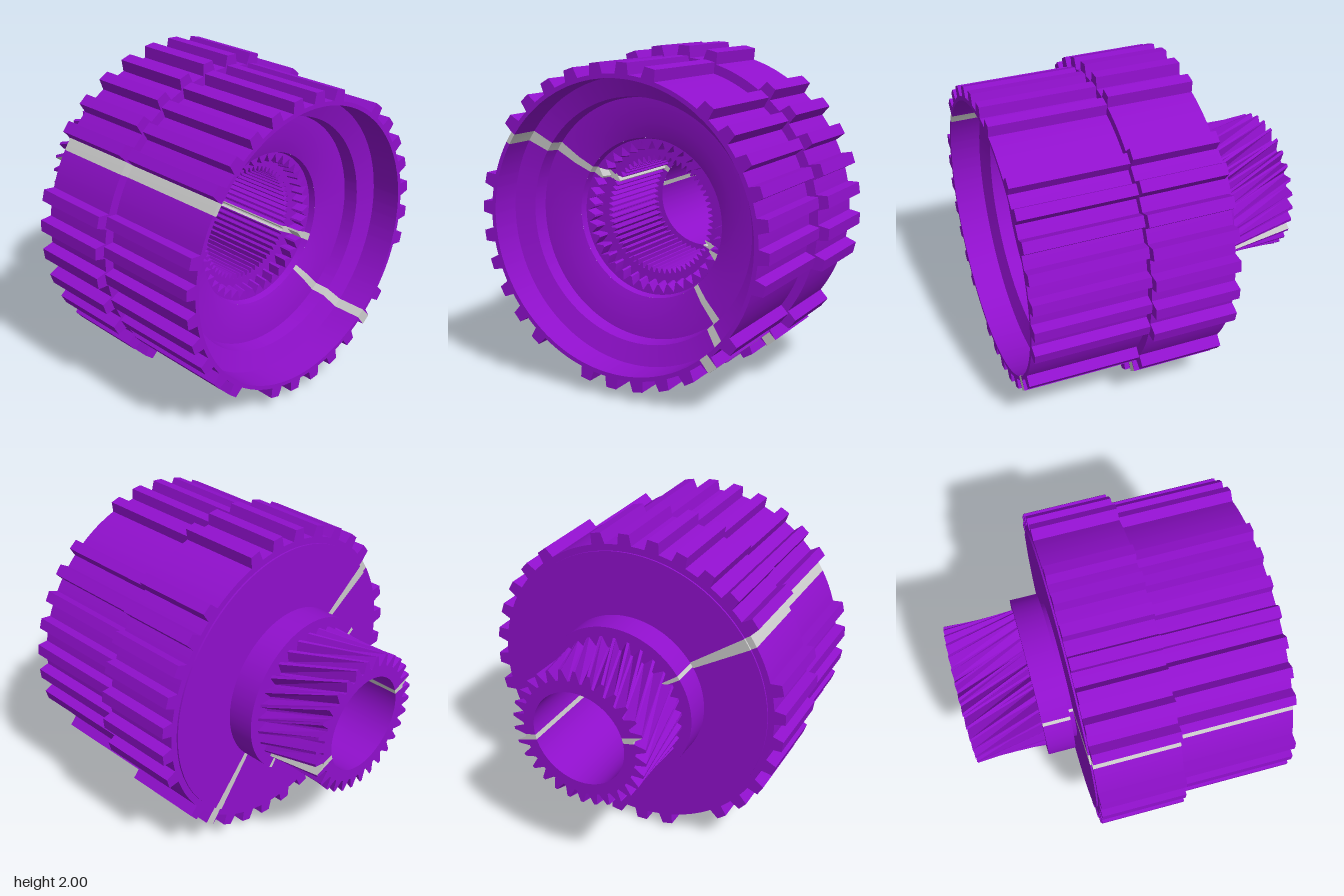
import * as THREE from 'three';
import { toCreasedNormals } from 'three/addons/utils/BufferGeometryUtils.js';

const RAD = Math.PI / 180;
const purple = new THREE.MeshStandardMaterial({ color: 0x9010cc });
const grey = new THREE.MeshStandardMaterial({ color: 0xcccccc });

// Angles (degrees) around the drum: four groups of seven teeth with a wide gap after each.
function drumAngles() {
  const pitch = 10.9, list = [];
  for (let g = 0; g < 4; g++) {
    for (let k = 0; k < 7; k++) {
      const a = 76 + 90 * g + pitch * k;
      list.push([a - 2.8, false], [a - 2, true], [a + 2, true], [a + 2.8, false]);
      const space = (k < 6 ? pitch : 90 - 6 * pitch) - 5.6;
      const steps = k < 6 ? 2 : 8;
      for (let s = 1; s < steps; s++) list.push([a + 2.8 + (space * s) / steps, false]);
    }
  }
  return list;
}

// Angles for evenly spaced teeth; each fraction is paired with a tip flag.
function evenAngles(count, pattern) {
  const list = [];
  for (let i = 0; i < count; i++) {
    for (const [f, tip] of pattern) list.push([((i + f) * 360) / count, tip]);
  }
  return list;
}

// Skins rows of [root radius, z, tip radius, twist] round the z axis,
// putting quads inside the given angle bands into a grey mesh.
function turned(name, angles, rows, bands) {
  const sets = [[], []];
  const point = (row, [angle, tip]) => {
    const [root, z, tipRadius = root, twist = 0] = row;
    const r = tip ? tipRadius : root, t = (angle + twist) * RAD;
    return [r * Math.cos(t), r * Math.sin(t), z];
  };
  angles.forEach((a, j) => {
    const b = angles[(j + 1) % angles.length];
    const end = b[0] < a[0] ? b[0] + 360 : b[0];
    const mid = ((a[0] + end) / 2) % 360;
    const set = sets[bands.some(([lo, hi]) => mid > lo && mid < hi) ? 1 : 0];
    for (let i = 0; i < rows.length - 1; i++) {
      const p = point(rows[i], a), q = point(rows[i + 1], a);
      const s = point(rows[i + 1], b), u = point(rows[i], b);
      set.push(...p, ...q, ...s, ...p, ...s, ...u);
    }
  });
  const group = new THREE.Group();
  group.name = name;
  sets.forEach((set, i) => {
    if (!set.length) return;
    const geo = new THREE.BufferGeometry();
    geo.setAttribute('position', new THREE.Float32BufferAttribute(set, 3));
    const mesh = new THREE.Mesh(toCreasedNormals(geo, 0.3), i ? grey : purple);
    mesh.name = name + (i ? 'Stripe' : 'Body');
    group.add(mesh);
  });
  return group;
}

export function createModel() {
  const model = new THREE.Group();
  model.name = 'gearDrum';
  const axis = new THREE.Group();
  axis.name = 'rotor';
  axis.position.y = 1;
  model.add(axis);

  // Stepped dish, front rim, two toothed bands and the back plate
  axis.add(turned('drum', drumAngles(), [
    [0.48, 0.57], [0.58, 0.6], [0.72, 0.61], [0.73, 0.7], [0.85, 0.74], [0.85, 0.93],
    [0.875, 0.93, 0.94], [0.875, 0.24, 0.94], [0.93, 0.24, 1], [0.93, -0.28, 1],
    [0.89, -0.28], [0.89, -0.29], [0.4, -0.29],
  ], [[144.2, 149], [308.4, 312.6]]));

  // Short neck and collar behind the back plate
  axis.add(turned('collar', evenAngles(120, [[0, false]]), [
    [0.43, -0.285], [0.43, -0.32], [0.5, -0.32], [0.5, -0.49], [0.34, -0.49],
  ], [[144, 147], [309, 312]]));

  // Rear helical gear with straight twisted teeth and a smooth bore
  const trapezoid = [[0, false], [0.3, true], [0.5, true], [0.8, false]];
  axis.add(turned('helicalGear', evenAngles(30, trapezoid), [
    [0.37, -0.48, 0.44], [0.37, -0.93, 0.44, 24],
    [0.3, -0.93, 0.3, 24], [0.3, -0.1, 0.3, 24],
  ], [[139, 145], [317, 323]]));

  // Long fine ribs inside the bore
  const innerBands = [[143, 149], [333, 339]];
  axis.add(turned('boreRibs', evenAngles(60, trapezoid), [
    [0.3, -0.1], [0.36, -0.1, 0.33], [0.36, 0.45, 0.33], [0.38, 0.45],
  ], innerBands));

  // Ring of pointed inner teeth at the mouth of the bore
  axis.add(turned('innerTeeth', evenAngles(40, [[0, false], [0.4, true], [0.6, true]]), [
    [0.38, 0.45], [0.46, 0.45, 0.4], [0.46, 0.53, 0.41], [0.47, 0.53], [0.48, 0.57],
  ], innerBands));

  return model;
}
